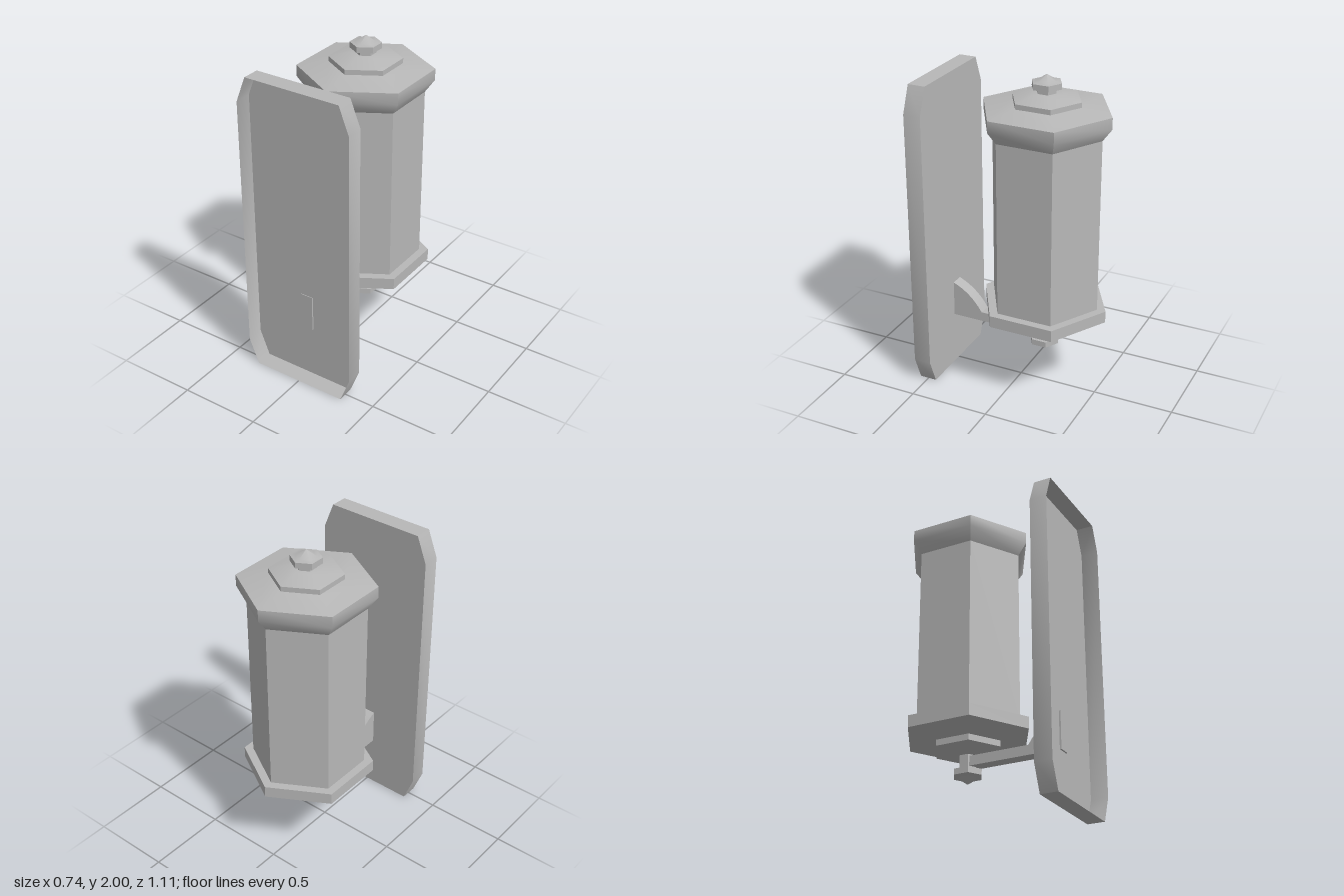
import * as THREE from 'three';
import { toCreasedNormals } from 'three/addons/utils/BufferGeometryUtils.js';

const AXIS_Z = -0.157; // centre line of the lantern

export function createModel() {
  const group = new THREE.Group();
  const metal = new THREE.MeshStandardMaterial({ color: 0xb8b8b8, side: THREE.DoubleSide });
  metal.name = 'grey metal';

  function add(name, geometry, z = 0) {
    const mesh = new THREE.Mesh(toCreasedNormals(geometry, 0.7), metal);
    mesh.name = name;
    mesh.position.z = z;
    group.add(mesh);
  }

  // Six-sided turned part; profile of [radius, y] from bottom to top
  function hexPart(name, profile) {
    const points = profile.map(([r, y]) => new THREE.Vector2(r, y));
    add(name, new THREE.LatheGeometry(points, 6), AXIS_Z);
  }

  // Wall plate: a shallow tray, open towards +z
  const outline = [
    [-0.305, 0], [0.305, 0], [0.368, 0.16], [0.368, 1.77],
    [0.305, 1.93], [-0.305, 1.93], [-0.368, 1.77], [-0.368, 0.16],
  ];
  const panel = new THREE.ShapeGeometry(new THREE.Shape(outline.map(([x, y]) => new THREE.Vector2(x, y))));
  add('backPlatePanel', panel, 0.448);

  const corners = [];
  outline.forEach(([x0, y0], i) => {
    const [x1, y1] = outline[(i + 1) % outline.length];
    const a = [x0, y0, 0.448], b = [x1, y1, 0.448], c = [x1, y1, 0.555], d = [x0, y0, 0.555];
    corners.push(...a, ...b, ...c, ...a, ...c, ...d);
  });
  const rim = new THREE.BufferGeometry();
  rim.setAttribute('position', new THREE.Float32BufferAttribute(corners, 3));
  rim.computeVertexNormals();
  add('backPlateRim', rim);

  // Arm with a curved gusset, drawn in (z, y) and extruded across x
  const side = new THREE.Shape();
  side.moveTo(-0.14, 0.338);
  side.lineTo(0.458, 0.338);
  side.lineTo(0.458, 0.57);
  side.lineTo(0.448, 0.565);
  side.quadraticCurveTo(0.325, 0.515, 0.255, 0.398);
  side.lineTo(-0.14, 0.398);
  side.closePath();
  const arm = new THREE.ExtrudeGeometry(side, { depth: 0.08, bevelEnabled: false, curveSegments: 8 });
  arm.translate(0, 0, -0.04);
  arm.rotateY(-Math.PI / 2);
  add('bracketArm', arm);

  // Lantern body and its caps
  hexPart('lanternBody', [[0.342, 0.58], [0.342, 1.665]]);
  hexPart('roof', [
    [0.342, 1.66], [0.397, 1.735], [0.397, 1.805], [0.213, 1.835],
    [0.213, 1.865], [0.09, 1.893], [0, 1.897],
  ]);
  hexPart('base', [
    [0, 0.405], [0.07, 0.41], [0.213, 0.436], [0.213, 0.473],
    [0.397, 0.512], [0.397, 0.585], [0.33, 0.585],
  ]);

  // Top and bottom finials
  hexPart('topFinial', [
    [0.06, 1.885], [0.06, 1.922], [0.092, 1.922], [0.092, 1.957], [0.058, 1.962], [0, 2],
  ]);
  hexPart('bottomFinial', [
    [0, 0.24], [0.058, 0.28], [0.092, 0.285], [0.092, 0.321], [0.055, 0.321], [0.055, 0.415],
  ]);

  return group;
}
